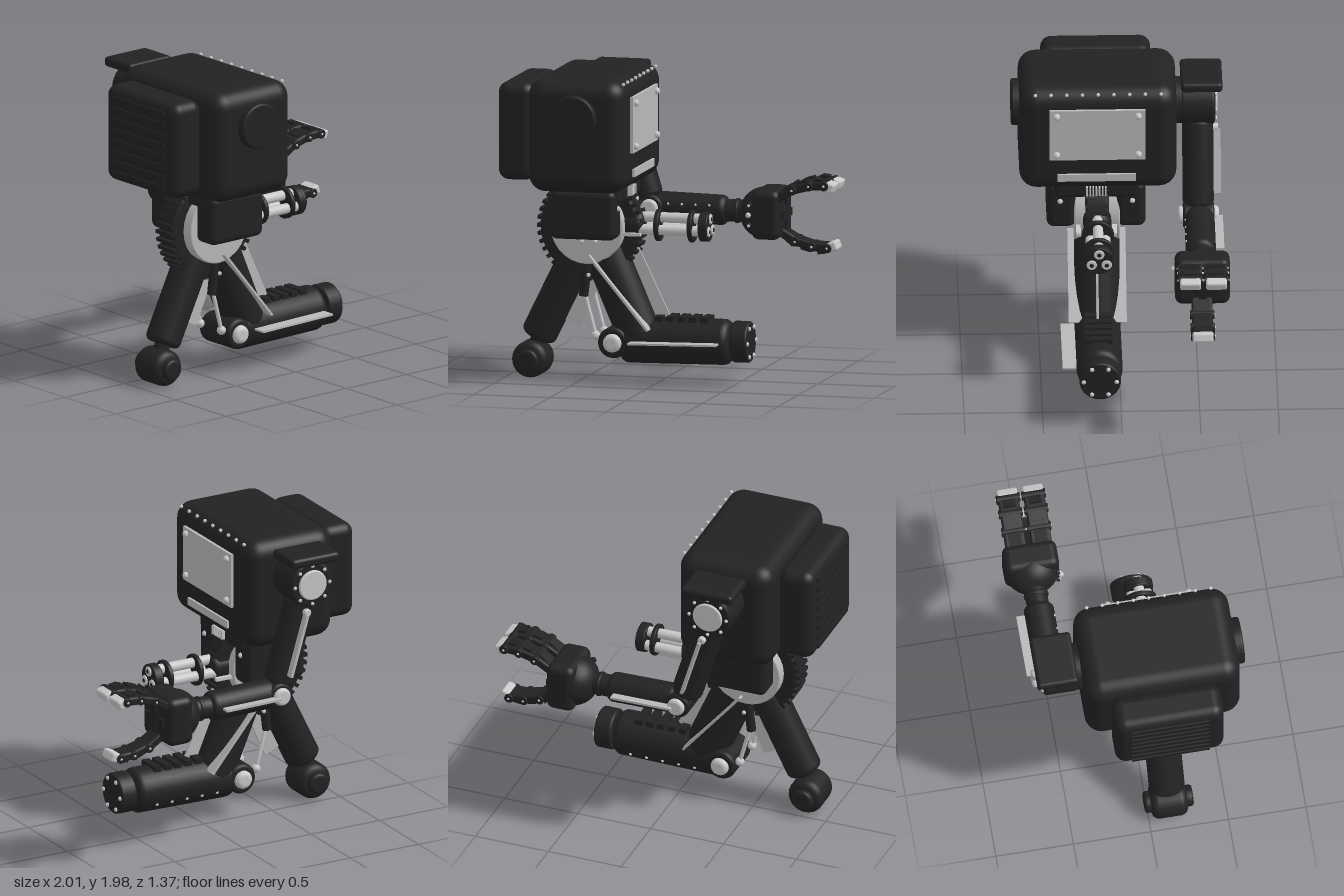
import * as THREE from 'three';
import { RoundedBoxGeometry } from 'three/addons/geometries/RoundedBoxGeometry.js';

const mat = (name, color) => new THREE.MeshStandardMaterial({ name, color });
const dark = mat('black armour', 0x222222);
const metal = mat('bare metal', 0xc8c8c8);
const panel = mat('light panel', 0xb8b8b8);

export function createModel() {
  const root = new THREE.Group();
  root.name = 'robot';
  const add = (name, geo, m, x = 0, y = 0, z = 0, parent = root) => {
    const mesh = new THREE.Mesh(geo, m);
    mesh.name = name;
    mesh.position.set(x, y, z);
    parent.add(mesh);
    return mesh;
  };
  // Box given by its extents, rounded when r > 0
  const box = (name, m, [x0, x1], [y0, y1], [z0, z1], r = 0) => {
    const s = [x1 - x0, y1 - y0, z1 - z0];
    const geo = r ? new RoundedBoxGeometry(...s, 5, r) : new THREE.BoxGeometry(...s);
    return add(name, geo, m, (x0 + x1) / 2, (y0 + y1) / 2, (z0 + z1) / 2);
  };
  // Solid of revolution along local y with rounded rims
  const roundCyl = (r, len, c, seg = 28) => {
    const pts = [[0, 0], [r - c - 0.002, 0]];
    for (let i = 0; i <= 5; i++) {
      const t = (i / 5) * Math.PI / 2;
      pts.push([r - c + c * Math.sin(t), c - c * Math.cos(t)]);
    }
    const all = [...pts, ...pts.slice().reverse().map(([x, y]) => [x, len - y])];
    return new THREE.LatheGeometry(all.map(p => new THREE.Vector2(...p)), seg);
  };
  // Rounded limb between two points of an x-y plane
  const limb = (name, m, a, b, z, r, c = 0.04) => {
    const dx = b[0] - a[0], dy = b[1] - a[1];
    const mesh = add(name, roundCyl(r, Math.hypot(dx, dy), c), m, a[0], a[1], z);
    mesh.rotation.z = Math.atan2(dy, dx) - Math.PI / 2;
    return mesh;
  };
  // Bar or fin between two points, spanning z0..z1
  const bar = (name, m, a, b, w, z0, z1, r = 0) => {
    const dx = b[0] - a[0], dy = b[1] - a[1];
    const s = [Math.hypot(dx, dy), w, z1 - z0];
    const geo = r ? new RoundedBoxGeometry(...s, 2, r) : new THREE.BoxGeometry(...s);
    const mesh = add(name, geo, m, (a[0] + b[0]) / 2, (a[1] + b[1]) / 2, (z0 + z1) / 2);
    mesh.rotation.z = Math.atan2(dy, dx);
    return mesh;
  };
  // Disc with its axis along z
  const disc = (name, m, x, y, z0, z1, r, c = 0.01) => {
    const mesh = add(name, roundCyl(r, z1 - z0, c), m, x, y, z0);
    mesh.rotation.x = Math.PI / 2;
    return mesh;
  };
  const boltGeo = new THREE.SphereGeometry(1, 10, 8);
  const bolt = (x, y, z, r = 0.012) => add('bolt', boltGeo, metal, x, y, z).scale.setScalar(r);

  // Torso, backpack and side hatch
  box('torso', dark, [-0.76, -0.12], [1.26, 1.99], [-0.37, 0.63], 0.11);
  box('backpack', dark, [-0.99, -0.75], [1.31, 1.94], [-0.22, 0.48], 0.07);
  for (let i = 0; i < 8; i++) box('backpackSlat', dark, [-1, -0.98], [1.36 + i * 0.07, 1.39 + i * 0.07], [-0.12, 0.38]);
  disc('sideHatch', dark, -0.44, 1.75, 0.6, 0.68, 0.15, 0.015);

  // Chest plates and rivets
  box('chestPlate', panel, [-0.13, -0.1], [1.51, 1.87], [-0.17, 0.44]);
  box('chestBar', panel, [-0.15, -0.105], [1.35, 1.4], [-0.11, 0.39]);
  for (const y of [1.55, 1.83]) for (const z of [-0.125, 0.395]) bolt(-0.095, y, z, 0.023);
  for (let i = 0; i < 9; i++) bolt(-0.14, 1.965, -0.27 + i * 0.1);

  // Shoulder
  disc('shoulderMount', dark, -0.44, 1.75, -0.41, -0.35, 0.15);
  disc('shoulder', dark, -0.44, 1.75, -0.62, -0.4, 0.155, 0.02);
  disc('shoulderCap', metal, -0.44, 1.75, -0.635, -0.6, 0.1);
  for (let i = 0; i < 8; i++) bolt(-0.44 + 0.127 * Math.cos(i * Math.PI / 4), 1.75 + 0.127 * Math.sin(i * Math.PI / 4), -0.622);
  box('shoulderGuard', dark, [-0.62, -0.27], [1.89, 1.955], [-0.665, -0.4], 0.025);

  // Arm
  limb('upperArm', dark, [-0.42, 1.64], [-0.25, 1.08], -0.51, 0.1);
  bar('upperArmFin', panel, [-0.39, 1.56], [-0.27, 1.16], 0.02, -0.655, -0.55);
  disc('elbow', dark, -0.22, 1.03, -0.61, -0.41, 0.085, 0.02);
  disc('elbowCap', metal, -0.22, 1.03, -0.64, -0.38, 0.058, 0.02);
  disc('upperArmPin', metal, -0.4, 1.57, -0.64, -0.58, 0.025);
  limb('forearm', dark, [-0.2, 1.03], [0.27, 1.02], -0.515, 0.097);
  bar('forearmFin', panel, [-0.2, 1.03], [0.21, 1.025], 0.015, -0.665, -0.55);
  for (let i = 0; i < 4; i++) bolt(-0.1 + i * 0.09, 1.06, -0.425, 0.008);
  limb('wrist', dark, [0.25, 1.02], [0.4, 1.02], -0.515, 0.072, 0.015);
  limb('wristRing', dark, [0.32, 1.02], [0.35, 1.02], -0.515, 0.08, 0.01);

  // Hand: a flattened ball, a palm block, two fingers and a thumb
  add('handBack', new THREE.SphereGeometry(0.165, 28, 18), dark, 0.51, 1.015, -0.515).scale.set(0.95, 1, 1.05);
  box('palm', dark, [0.46, 0.65], [0.86, 1.18], [-0.69, -0.34], 0.05);
  box('palmBar', dark, [0.64, 0.665], [0.99, 1.04], [-0.63, -0.4]);
  box('palmPost', dark, [0.64, 0.665], [0.92, 1.11], [-0.54, -0.49]);
  for (const y of [0.95, 1.08]) {
    disc('handStud', dark, 0.45, y, -0.365, -0.345, 0.02, 0.005);
    bolt(0.45, y, -0.345, 0.01);
  }
  bolt(0.45, 1.02, -0.335, 0.018);
  const path = [[0.61, 0.1], [0.73, 0.17], [0.84, 0.2], [0.94, 0.205], [1, 0.185]];
  const finger = (zc, side, w) => {
    const p = path.map(([x, y]) => [x, 1.015 + side * y]);
    for (let i = 0; i < 4; i++) {
      const tip = i === 3;
      bar(tip ? 'fingertip' : 'fingerSegment', tip ? metal : dark, p[i], p[i + 1], tip ? 0.062 : 0.055, zc - w, zc + w, 0.015);
      if (!tip) {
        disc('fingerJoint', dark, p[i + 1][0], p[i + 1][1], zc - w - 0.01, zc + w + 0.01, 0.03, 0.006);
        for (const s of [-1, 1]) bolt(p[i + 1][0], p[i + 1][1], zc + s * (w + 0.01), 0.008);
        bar('knucklePlate', dark, [p[i][0] + 0.03, p[i][1] + side * 0.04], [p[i + 1][0] - 0.02, p[i + 1][1] + side * 0.028], 0.02, zc - w * 0.6, zc + w * 0.6);
      }
    }
  };
  finger(-0.43, 1, 0.067);
  finger(-0.595, 1, 0.067);
  finger(-0.51, -1, 0.067);

  // Waist gear with side blocks
  disc('gear', dark, -0.45, 0.99, 0.06, 0.21, 0.325, 0.02);
  for (let i = 0; i < 40; i++) {
    const t = i * Math.PI / 20;
    const tooth = add('gearTooth', new THREE.BoxGeometry(0.035, 0.024, 0.15), dark, -0.45 + 0.327 * Math.cos(t), 0.99 + 0.327 * Math.sin(t), 0.135);
    tooth.rotation.z = t;
  }
  disc('gearHub', panel, -0.45, 1.0, -0.01, 0.28, 0.24, 0.01);
  for (const s of [-1, 1]) {
    const span = (a, b) => s > 0 ? [0.14 + a, 0.14 + b] : [0.14 - b, 0.14 - a];
    box('hipBlock', dark, [-0.65, -0.22], [0.94, 1.26], span(0.13, 0.315), 0.045);
    bar('hipBrace', metal, [-0.3, 0.96], [-0.1, 0.96], 0.02, ...span(0.1, 0.13));
    for (const x of [-0.48, -0.39]) bolt(x, 0.91, 0.14 + s * 0.15, 0.015);
    bolt(-0.22, 1.14, 0.14 + s * 0.23, 0.018);
  }
  box('waistCollar', dark, [-0.65, -0.2], [1.17, 1.28], [-0.13, 0.41], 0.03);
  for (let i = 0; i < 7; i++) box('waistCable', metal, [-0.21, -0.175], [1.2, 1.26], [0.075 + i * 0.02, 0.085 + i * 0.02]);

  // Three-barrelled gun
  limb('gunBase', dark, [-0.3, 1.01], [-0.1, 1.01], 0.135, 0.09);
  for (let i = 0; i < 3; i++) {
    const t = Math.PI / 2 + i * Math.PI * 2 / 3, y = 1.01 + 0.05 * Math.sin(t), z = 0.135 + 0.055 * Math.cos(t);
    limb('barrel', metal, [-0.15, y], [0.335, y], z, 0.033, 0.005);
    limb('bore', dark, [0.33, y], [0.338, y], z, 0.014, 0.002);
  }
  for (const [x0, x1, r] of [[-0.025, 0.005, 0.103], [0.195, 0.225, 0.103], [0.265, 0.325, 0.095]]) {
    limb('barrelBand', dark, [x0, 1.01], [x1, 1.01], 0.135, r, 0.008);
  }

  // Rear leg with ball foot
  limb('rearLeg', dark, [-0.46, 0.97], [-0.81, 0.26], 0.135, 0.115);
  bar('rearLegFin', panel, [-0.58, 0.36], [-0.35, 0.88], 0.12, 0.13, 0.145);
  disc('rearFoot', dark, -0.84, 0.125, 0.02, 0.255, 0.118, 0.05);
  disc('rearFootHub', dark, -0.84, 0.125, -0.02, 0.295, 0.07, 0.02);
  limb('rearAnkle', dark, [-0.79, 0.3], [-0.84, 0.13], 0.135, 0.05);

  // Front leg
  limb('thigh', dark, [-0.42, 0.97], [-0.12, 0.27], 0.135, 0.145, 0.05);
  bar('thighFrontFin', panel, [-0.22, 0.84], [-0.01, 0.4], 0.16, 0.13, 0.145);
  for (const [z0, z1] of [[0.2, 0.32], [-0.05, 0.07]]) bar('thighSideFin', panel, [-0.43, 0.82], [-0.04, 0.35], 0.015, z0, z1);
  disc('knee', dark, -0.28, 0.26, -0.01, 0.28, 0.1, 0.025);
  disc('kneeCap', metal, -0.28, 0.26, -0.045, 0.315, 0.06, 0.03);
  limb('shin', dark, [-0.25, 0.265], [0.47, 0.275], 0.135, 0.147, 0.05);
  bar('shinFin', panel, [-0.16, 0.27], [0.42, 0.28], 0.012, 0.25, 0.37);
  for (let i = 0; i < 5; i++) {
    box('shinLouvre', dark, [-0.02 + i * 0.075, 0.03 + i * 0.075], [0.4, 0.435], [0.05, 0.22]);
    bolt(-0.1 + i * 0.11, 0.2, 0.005, 0.01);
  }
  limb('ankle', dark, [0.44, 0.28], [0.5, 0.28], 0.135, 0.06, 0.01);
  limb('frontFoot', dark, [0.48, 0.28], [0.595, 0.28], 0.135, 0.133, 0.015);
  for (let i = 0; i < 6; i++) bolt(0.595, 0.28 + 0.105 * Math.sin(i * Math.PI / 3), 0.135 + 0.105 * Math.cos(i * Math.PI / 3), 0.015);

  // Pistons beside the knee
  for (const z of [0.03, 0.24]) {
    limb('pistonSleeve', dark, [-0.45, 0.8], [-0.48, 0.55], z, 0.03, 0.005);
    limb('pistonRod', metal, [-0.48, 0.6], [-0.4, 0.3], z, 0.013, 0.003);
    bolt(-0.4, 0.3, z, 0.03);
    bolt(-0.44, 0.69, z + (z > 0.13 ? 0.03 : -0.03), 0.014);
  }
  return root;
}
